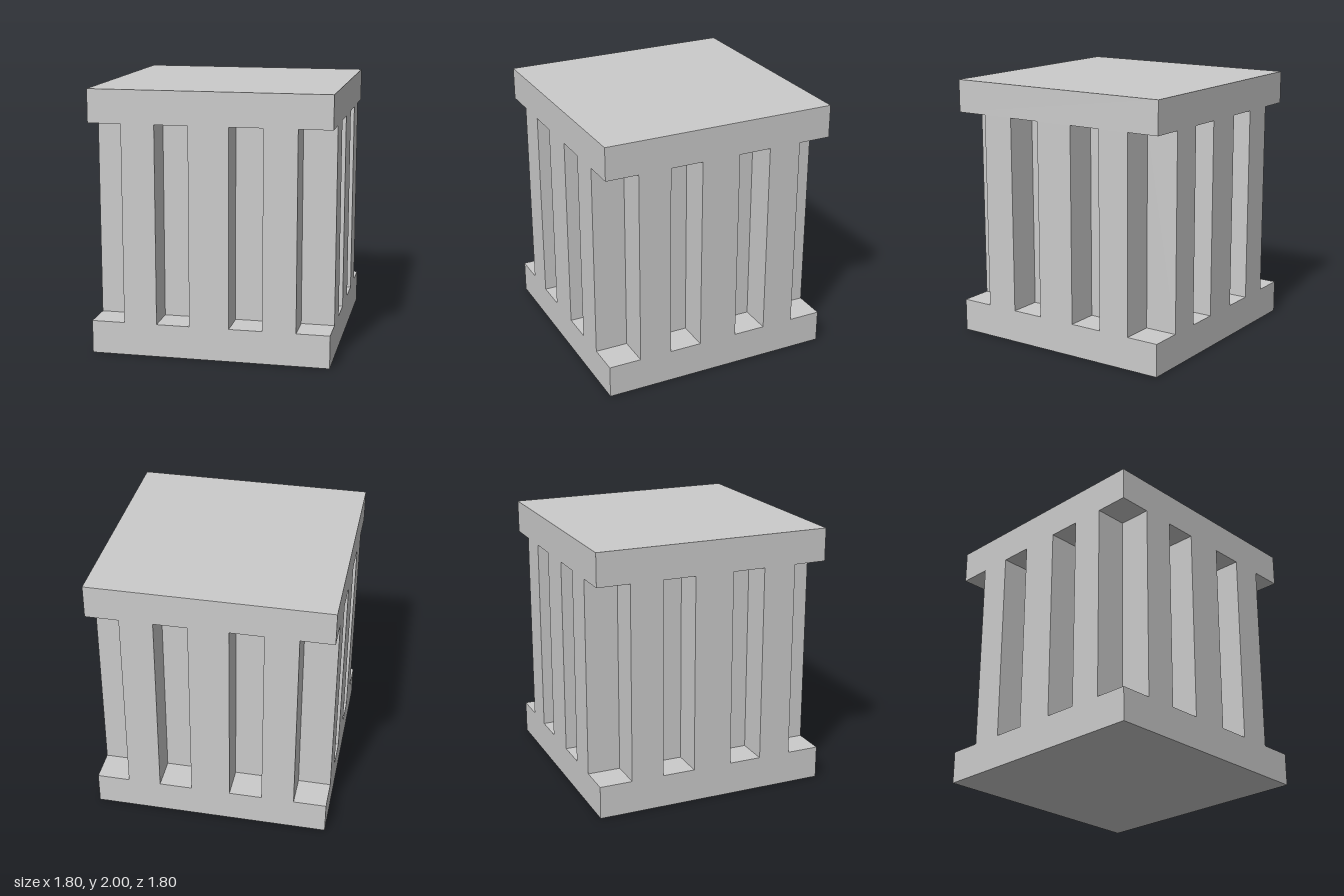
import * as THREE from 'three';

const HALF = 0.9;   // outer half width
const CORE = 0.65;  // half width at the bottom of the grooves
const SLAB = 0.25;  // slab thickness
const HEIGHT = 2;

export function createModel() {
  const group = new THREE.Group();
  const material = new THREE.MeshStandardMaterial({ color: 0xcccccc, flatShading: true });

  const add = (name, geometry, y) => {
    const mesh = new THREE.Mesh(geometry, material);
    mesh.name = name;
    mesh.position.y = y;
    group.add(mesh);
  };

  // Square slabs at the bottom and top
  const slab = new THREE.BoxGeometry(2 * HALF, SLAB, 2 * HALF);
  add('baseSlab', slab, SLAB / 2);
  add('topSlab', slab, HEIGHT - SLAB / 2);

  // Ribbed body: one side's outline, turned around the four sides
  const side = [
    [CORE, CORE], [CORE, HALF], [0.4, HALF], [0.4, CORE], [0.15, CORE], [0.15, HALF],
    [-0.15, HALF], [-0.15, CORE], [-0.4, CORE], [-0.4, HALF], [-CORE, HALF],
  ];
  const outline = [];
  for (let i = 0; i < 4; i++) {
    for (const [x, y] of side) {
      outline.push(new THREE.Vector2(x, y).rotateAround(new THREE.Vector2(), i * Math.PI / 2));
    }
  }
  const body = new THREE.ExtrudeGeometry(new THREE.Shape(outline), {
    depth: HEIGHT - 2 * SLAB, bevelEnabled: false,
  });
  body.rotateX(-Math.PI / 2);
  add('ribbedBody', body, SLAB);

  return group;
}
